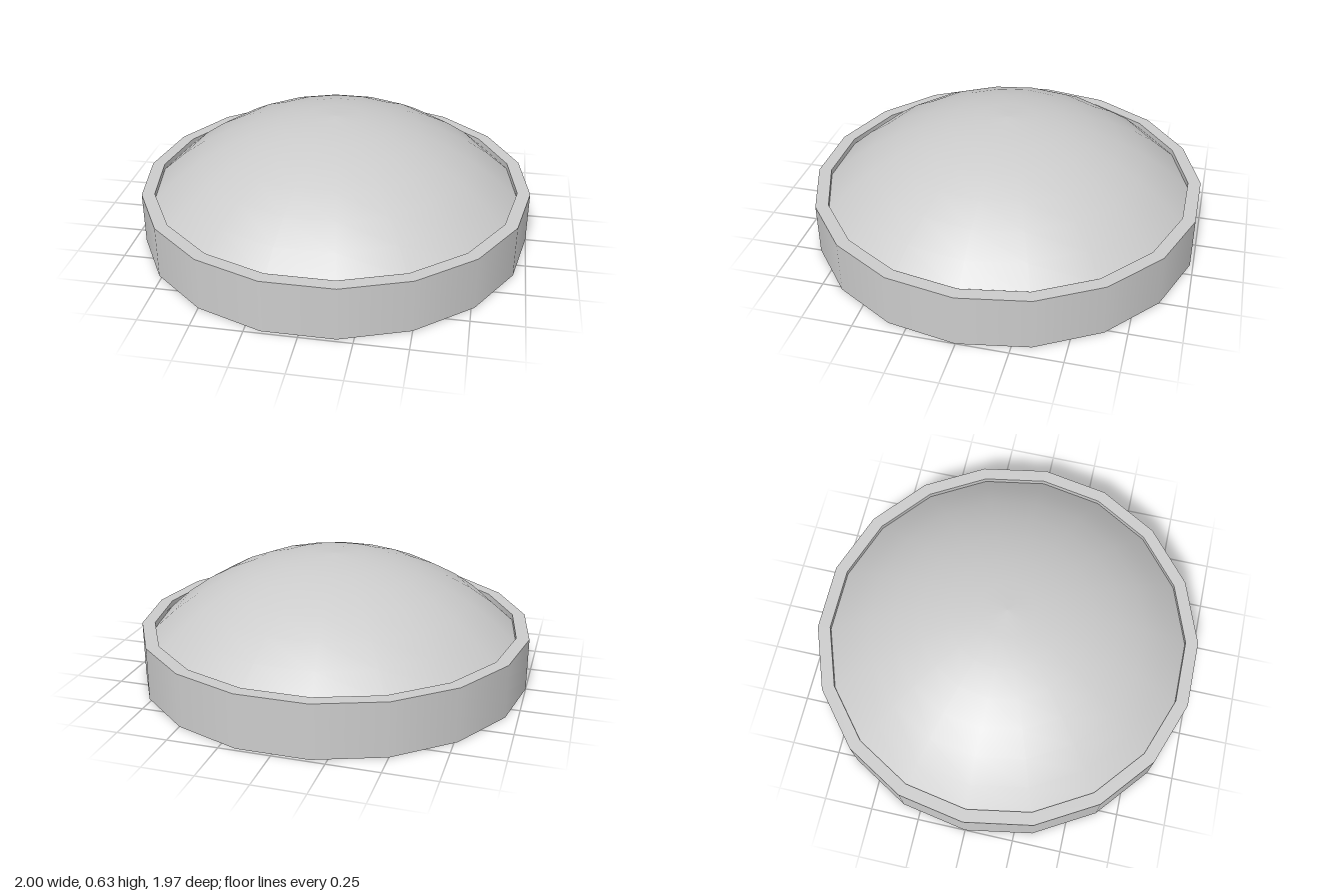
import * as THREE from 'three';

const SIDES = 18;
const RIM_HEIGHT = 0.27;
const INNER_RADIUS = 0.935;
const DOME_TOP = 0.63;
const DOME_RADIUS = 1.318;
const DOME_RINGS = 7;

export function createModel() {
  const group = new THREE.Group();
  const material = new THREE.MeshStandardMaterial({ color: 0xcccccc });

  // Turns a profile about y, with a corner on the x axis
  const turned = (name, profile) => {
    const points = profile.map(([r, y]) => new THREE.Vector2(r, y));
    const mesh = new THREE.Mesh(new THREE.LatheGeometry(points, SIDES, Math.PI / 2), material);
    mesh.name = name;
    group.add(mesh);
  };

  // Spherical cap, ending just below the top of the rim
  const edgeAngle = Math.asin(INNER_RADIUS / DOME_RADIUS);
  const dome = [];
  for (let i = DOME_RINGS; i >= 0; i--) {
    const a = (edgeAngle * i) / DOME_RINGS;
    dome.push([DOME_RADIUS * Math.sin(a), DOME_TOP - DOME_RADIUS * (1 - Math.cos(a))]);
  }
  const seatY = dome[0][1];

  // Base ring: separate surfaces keep its edges sharp
  turned('baseBottom', [[0, 0], [1, 0]]);
  turned('baseWall', [[1, 0], [1, RIM_HEIGHT]]);
  turned('rimTop', [[1, RIM_HEIGHT], [INNER_RADIUS, RIM_HEIGHT]]);
  turned('rimInnerWall', [[INNER_RADIUS, RIM_HEIGHT], [INNER_RADIUS, seatY]]);
  turned('dome', dome);

  return group;
}
